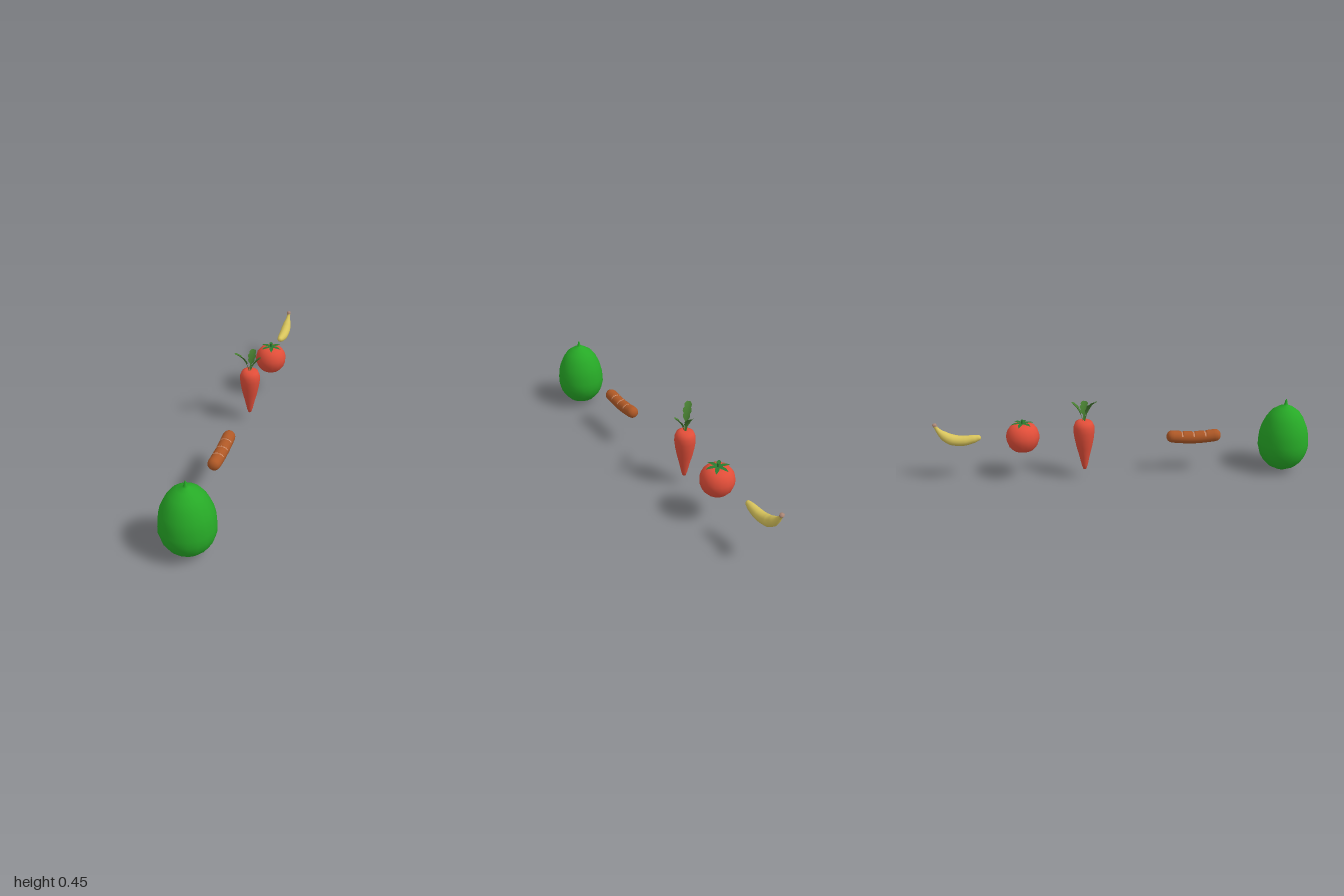
import * as THREE from 'three';
import { mergeVertices } from 'three/addons/utils/BufferGeometryUtils.js';

const mat = (name, color, side = THREE.FrontSide) => {
  const m = new THREE.MeshStandardMaterial({ color, side });
  m.name = name;
  return m;
};

function mesh(name, geometry, material) {
  const m = new THREE.Mesh(geometry, material);
  m.name = name;
  return m;
}

// Body of revolution from [radius, height] pairs, bottom to top
function turned(profile, sides) {
  return new THREE.LatheGeometry(profile.map(([r, y]) => new THREE.Vector2(r, y)), sides);
}

// Linear lookup in a list of [u, value] stops
function lookup(stops, u) {
  for (let i = 1; i < stops.length; i++) {
    const [a, va] = stops[i - 1], [b, vb] = stops[i];
    if (u <= b) return va + (vb - va) * Math.max(0, (u - a) / (b - a));
  }
  return stops[stops.length - 1][1];
}

// Round tube along a [z, y] spine whose radius follows the stops
function taperedTube(spine, stops, rings, sides) {
  const curve = new THREE.CatmullRomCurve3(spine.map(([z, y]) => new THREE.Vector3(0, y, z)));
  const g = new THREE.TubeGeometry(curve, rings, 1, sides);
  const p = g.attributes.position, v = new THREE.Vector3();
  for (let i = 0; i <= rings; i++) {
    const c = curve.getPointAt(i / rings), r = lookup(stops, i / rings);
    for (let j = 0; j <= sides; j++) {
      const k = i * (sides + 1) + j;
      v.fromBufferAttribute(p, k).sub(c).multiplyScalar(r).add(c);
      p.setXYZ(k, v.x, v.y, v.z);
    }
  }
  g.deleteAttribute('uv');
  g.deleteAttribute('normal');
  const merged = mergeVertices(g, 1e-5);
  merged.computeVertexNormals();
  return merged;
}

// Faces chosen by the test take the second material
function splitFaces(g, test) {
  const p = g.attributes.position, idx = g.index.array, first = [], second = [];
  for (let i = 0; i < idx.length; i += 3) {
    const c = new THREE.Vector3();
    for (let k = 0; k < 3; k++) c.add(new THREE.Vector3().fromBufferAttribute(p, idx[i + k]));
    (test(c.divideScalar(3)) ? second : first).push(idx[i], idx[i + 1], idx[i + 2]);
  }
  g.setIndex([...first, ...second]);
  g.addGroup(0, first.length, 0);
  g.addGroup(first.length, second.length, 1);
}

// Curved blade from base to tip, half width by rule, folded along the midrib
function blade(base, control, tip, width, fold, rows) {
  const curve = new THREE.QuadraticBezierCurve3(base, control, tip);
  const out = tip.clone().sub(base).setY(0).normalize();
  const side = new THREE.Vector3(-out.z, 0, out.x);
  const g = new THREE.PlaneGeometry(1, 1, 2, rows);
  const p = g.attributes.position;
  for (let i = 0; i <= rows; i++) {
    const t = i / rows, c = curve.getPoint(t), up = curve.getTangent(t).cross(side).normalize();
    if (up.y < 0) up.negate();
    for (let j = 0; j < 3; j++) {
      const s = j - 1, w = width(t);
      const v = c.clone().addScaledVector(side, s * w).addScaledVector(up, Math.abs(s) * w * fold);
      p.setXYZ(i * 3 + j, v.x, v.y, v.z);
    }
  }
  g.computeVertexNormals();
  return g;
}

export function createModel() {
  const root = new THREE.Group();
  root.name = 'foodRow';
  const V = (x, y, z) => new THREE.Vector3(x, y, z);
  const melonGreen = mat('melonGreen', 0x27aa27);
  const sausageBrown = mat('sausageBrown', 0xae5826);
  const cutTan = mat('cutTan', 0xc98a68);
  const vegetableRed = mat('vegetableRed', 0xe24e39);
  const leafGreen = mat('leafGreen', 0x467c30, THREE.DoubleSide);
  const calyxGreen = mat('calyxGreen', 0x2c7a30, THREE.DoubleSide);
  const bananaYellow = mat('bananaYellow', 0xd8c45c);
  const stemTan = mat('stemTan', 0xb08a78);

  // Melon with its short pointed stalk
  const melon = mesh('melon', turned([[0, 0], [0.03, 0.003], [0.078, 0.029], [0.105, 0.058], [0.124, 0.092],
    [0.134, 0.13], [0.134, 0.165], [0.13, 0.208], [0.12, 0.25], [0.1, 0.295], [0.075, 0.331],
    [0.04, 0.356], [0.014, 0.367], [0.008, 0.376], [0.006, 0.39], [0.001, 0.403]], 18), melonGreen);
  melon.position.z = 0.866;
  root.add(melon);

  // Sausage with three shallow cuts across its top
  const cuts = [0.31, 0.372, 0.434];
  const cutAt = z => Math.min(...cuts.map(c => Math.abs(z - c)));
  const sausageGeo = taperedTube([[0.226, 0.213], [0.3, 0.204], [0.373, 0.2], [0.446, 0.204], [0.52, 0.213]],
    [[0, 0], [0.012, 0.015], [0.035, 0.025], [0.07, 0.031], [0.11, 0.033], [0.89, 0.033],
      [0.93, 0.031], [0.965, 0.025], [0.988, 0.015], [1, 0]], 90, 16);
  const sp = sausageGeo.attributes.position;
  for (let i = 0; i < sp.count; i++) {
    const rise = sp.getY(i) - 0.212, near = 1 - cutAt(sp.getZ(i)) / 0.008;
    if (rise > 0 && near > 0) sp.setY(i, sp.getY(i) - near * rise * 0.3);
  }
  sausageGeo.computeVertexNormals();
  splitFaces(sausageGeo, c => c.y > 0.215 && cutAt(c.z) < 0.0035);
  const sausage = mesh('sausage', sausageGeo, [sausageBrown, cutTan]);
  sausage.position.x = -0.002;
  root.add(sausage);

  // Carrot root and three lobed leaves
  const carrot = new THREE.Group();
  carrot.name = 'carrot';
  carrot.position.set(-0.03, 0, -0.214);
  carrot.add(mesh('carrotRoot', turned([[0, 0.05], [0.009, 0.053], [0.016, 0.075], [0.027, 0.125], [0.041, 0.18],
    [0.05, 0.225], [0.055, 0.265], [0.054, 0.295], [0.045, 0.318], [0.025, 0.328], [0, 0.326]], 14), vegetableRed));
  const lobed = t => t < 0.3 ? 0.005
    : 0.006 + 0.017 * Math.sin(Math.PI * Math.min(1, (t - 0.3) / 0.72)) ** 0.6 * (0.65 + 0.35 * Math.abs(Math.sin((t - 0.3) * 13.5)));
  [[-0.065, 0.447, 0.064], [0.061, 0.412, 0.008], [0.004, 0.424, -0.062]].forEach(([x, y, z], i) => {
    carrot.add(mesh('carrotLeaf' + (i + 1),
      blade(V(x * 0.08, 0.322, z * 0.08), V(x * 0.3, y - 0.035, z * 0.3), V(x, y, z), lobed, 0.35, 24), leafGreen));
  });
  root.add(carrot);

  // Tomato with star-shaped calyx and stalk
  const tomato = new THREE.Group();
  tomato.name = 'tomato';
  tomato.position.set(0.004, 0, -0.535);
  tomato.add(mesh('tomatoBody', turned([[0, 0.16], [0.03, 0.157], [0.055, 0.165], [0.075, 0.187], [0.086, 0.218],
    [0.087, 0.243], [0.08, 0.27], [0.064, 0.292], [0.042, 0.304], [0.02, 0.305], [0, 0.299]], 16), vegetableRed));
  for (let i = 0; i < 6; i++) {
    const a = i * Math.PI / 3 + 0.25, x = Math.cos(a), z = Math.sin(a);
    tomato.add(mesh('sepal' + (i + 1), blade(V(0, 0.306, 0), V(x * 0.035, 0.314, z * 0.035), V(x * 0.062, 0.304, z * 0.062),
      t => 0.005 + 0.008 * Math.sin(Math.PI * t) - 0.005 * t, 0.15, 8), calyxGreen));
  }
  const stalk = mesh('tomatoStalk', new THREE.CylinderGeometry(0.006, 0.005, 0.024, 8), calyxGreen);
  stalk.position.y = 0.315;
  tomato.add(stalk);
  root.add(tomato);

  // Banana curving up to a tan stalk end
  const bananaGeo = taperedTube([[-0.75, 0.241], [-0.79, 0.231], [-0.85, 0.223], [-0.91, 0.234], [-0.955, 0.268], [-0.98, 0.305], [-0.987, 0.325]],
    [[0, 0], [0.005, 0.008], [0.03, 0.013], [0.13, 0.021], [0.3, 0.027], [0.55, 0.029], [0.7, 0.024],
      [0.82, 0.014], [0.9, 0.009], [0.96, 0.011], [0.995, 0.012], [1, 0]], 48, 12);
  splitFaces(bananaGeo, c => c.y > 0.308);
  root.add(mesh('banana', bananaGeo, [bananaYellow, stemTan]));

  return root;
}
